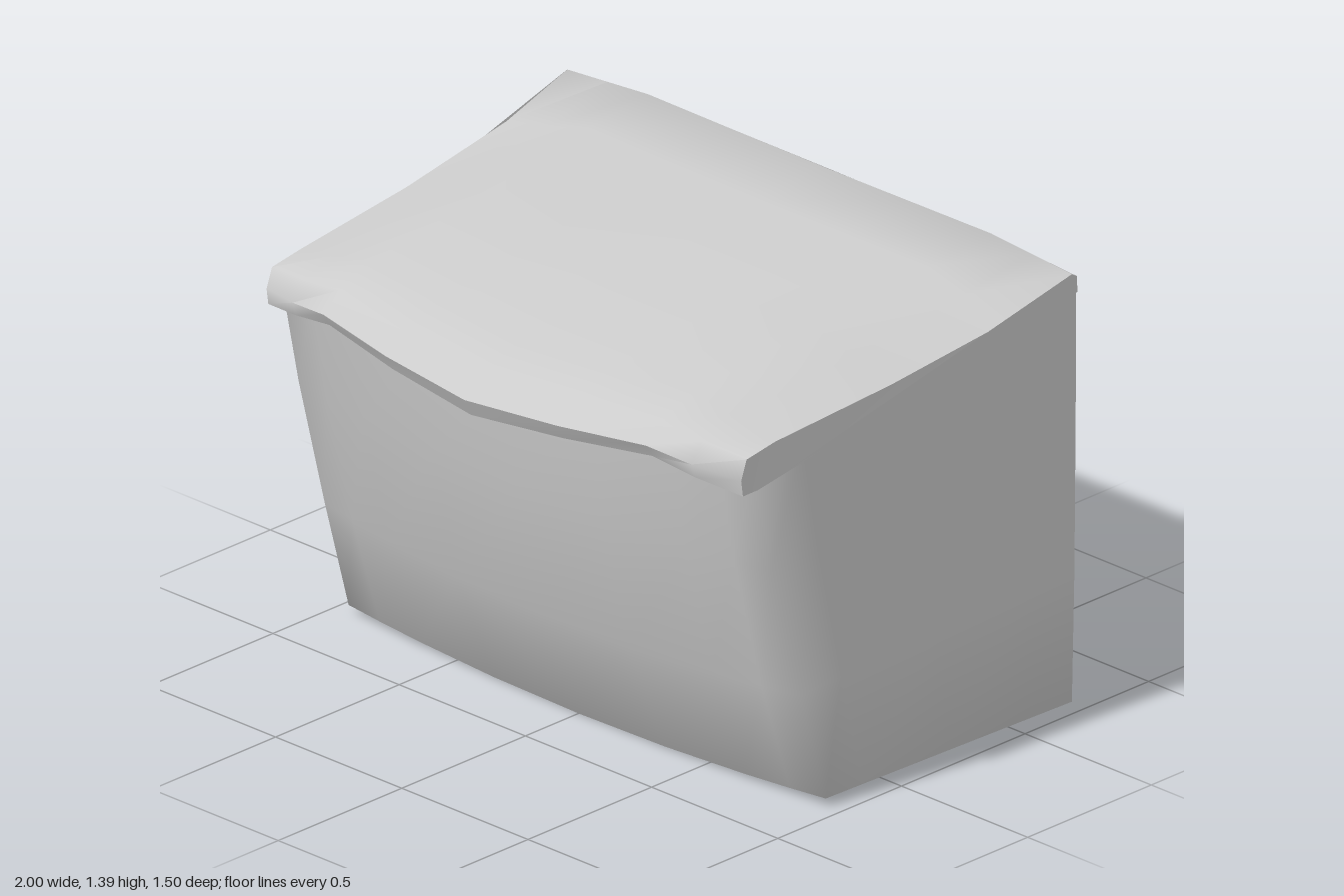
import * as THREE from 'three';
import { mergeVertices, toCreasedNormals } from 'three/addons/utils/BufferGeometryUtils.js';

const lerp = THREE.MathUtils.lerp;

// Skin a grid of [x, y, z] points; columns run left to right across the outside.
function skin(rows, capEnds = false) {
  const n = rows[0].length;
  const index = [];
  for (let r = 0; r < rows.length - 1; r++) {
    for (let c = 0; c < n - 1; c++) {
      const a = r * n + c, b = a + 1, d = a + n, e = d + 1;
      index.push(a, b, e, a, e, d);
    }
  }
  if (capEnds) {
    for (let r = 1; r < rows.length - 1; r++) {
      index.push(0, r * n, (r + 1) * n);
      index.push(n - 1, (r + 2) * n - 1, (r + 1) * n - 1);
    }
  }
  const geo = new THREE.BufferGeometry();
  geo.setAttribute('position', new THREE.Float32BufferAttribute(rows.flat(2), 3));
  geo.setIndex(index);
  return geo;
}

// One body level; v is the share of the local height.
function bodyRing({ v, front, corner, back, wFront, wBack }) {
  const ring = [];
  const across = [-1, -0.86, -0.68, -0.36, 0, 0.36, 0.68, 0.86, 1];
  const along = [0.15, 0.5, 0.83];
  const backCorner = -0.71;
  const add = (x, z, t, drop = 0) => ring.push([x, lerp(0.03, lerp(1.13, 1.31, t), v) - drop, z]);
  for (const u of across) {
    const bow = 1 - u * u;
    add(u * wFront, lerp(corner, front, bow), 0, 0.025 * bow * (1 - v));
  }
  for (const t of along) add(lerp(wFront, wBack, t), lerp(corner, backCorner, t), t);
  for (const u of across) add(-u * wBack, lerp(backCorner, back, 1 - u * u), 1);
  for (const t of [...along].reverse()) add(-lerp(wFront, wBack, t), lerp(corner, backCorner, t), t);
  ring.push([...ring[0]]);
  return ring;
}

function bodyGeometry() {
  const rings = [
    { v: 0, front: 0.285, corner: 0.25, back: -0.71, wFront: 0.945, wBack: 0.98 },
    { v: 0.32, front: 0.44, corner: 0.35, back: -0.713, wFront: 0.942, wBack: 0.99 },
    { v: 0.7, front: 0.54, corner: 0.46, back: -0.717, wFront: 0.938, wBack: 0.995 },
    { v: 1, front: 0.57, corner: 0.53, back: -0.748, wFront: 0.937, wBack: 0.997 },
  ].map(bodyRing);
  // Floor: centre point and an inset ring below the first level
  const inset = (s) => rings[0].map(([x, y, z]) => [x * s, lerp(0.02, y, s), lerp(-0.22, z, s)]);
  const geo = mergeVertices(skin([inset(0), inset(0.8), ...rings]), 1e-4);
  geo.computeVertexNormals();
  return geo;
}

// Lid profiles as [z, y], from under the front lip, over the top, to the back
const centre = [[0.5, 1.08], [0.72, 1.075], [0.747, 1.13], [0.67, 1.19], [0.52, 1.24],
  [0, 1.315], [-0.43, 1.37], [-0.69, 1.392], [-0.735, 1.365], [-0.75, 1.31]];
const middle = [[0.5, 1.125], [0.64, 1.125], [0.665, 1.165], [0.6, 1.22], [0.47, 1.268],
  [0, 1.32], [-0.43, 1.376], [-0.69, 1.397], [-0.72, 1.37], [-0.733, 1.31]];
const edge = [[0.52, 1.075], [0.58, 1.075], [0.587, 1.125], [0.565, 1.185], [0.45, 1.203],
  [0, 1.242], [-0.43, 1.3], [-0.69, 1.372], [-0.71, 1.36], [-0.712, 1.31]];

function lidGeometry() {
  const across = [-1, -0.84, -0.68, -0.36, 0, 0.36, 0.68, 0.84, 1];
  const rows = centre.map((_, i) => across.map((u) => {
    const a = Math.abs(u);
    const inner = a <= 0.68;
    const k = inner ? a / 0.68 : (a - 0.68) / 0.32;
    const [p, q] = inner ? [centre[i], middle[i]] : [middle[i], edge[i]];
    // Slight outward bow between the profiles
    const bow = k * (1 - k) * (inner ? 0.06 : 0.04);
    const z = lerp(p[0], q[0], k) + (i > 0 && i < 4 ? bow : 0);
    const width = lerp(0.94, 1, THREE.MathUtils.clamp((0.4 - edge[i][0]) / 1.1, 0, 1));
    return [u * width, lerp(p[1], q[1], k), z];
  }));
  return toCreasedNormals(skin(rows, true), 1);
}

export function createModel() {
  const model = new THREE.Group();
  model.name = 'storageBin';
  const material = new THREE.MeshStandardMaterial({ color: 0xcccccc, side: THREE.DoubleSide });
  for (const [name, geo] of [['body', bodyGeometry()], ['lid', lidGeometry()]]) {
    const mesh = new THREE.Mesh(geo, material);
    mesh.name = name;
    model.add(mesh);
  }
  return model;
}
